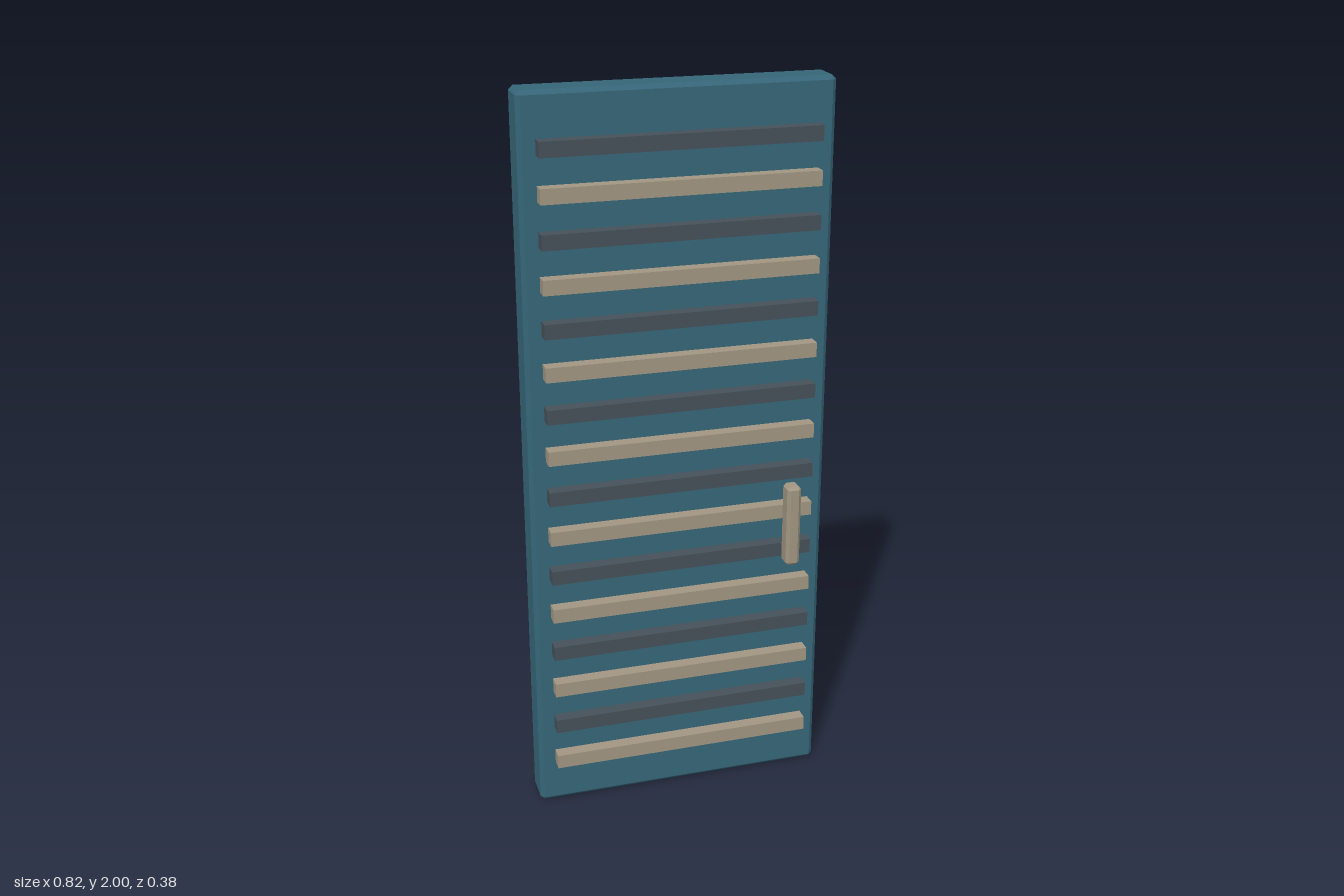
import * as THREE from 'three';
import { ConvexGeometry } from 'three/addons/geometries/ConvexGeometry.js';

const paint = (color) => new THREE.MeshStandardMaterial({ color });

// Box with every edge and corner cut by a flat chamfer
function chamferedBox(w, h, d, c) {
  const points = [];
  for (const sx of [-1, 1]) for (const sy of [-1, 1]) for (const sz of [-1, 1]) {
    const x = w / 2, y = h / 2, z = d / 2;
    points.push(
      new THREE.Vector3(sx * x, sy * (y - c), sz * (z - c)),
      new THREE.Vector3(sx * (x - c), sy * y, sz * (z - c)),
      new THREE.Vector3(sx * (x - c), sy * (y - c), sz * z)
    );
  }
  return new ConvexGeometry(points);
}

export function createModel() {
  const door = new THREE.Group();
  door.name = 'door';
  const blue = paint(0x366678), dark = paint(0x455159), tan = paint(0xa09682);

  const add = (name, geometry, material, x, y, z) => {
    const mesh = new THREE.Mesh(geometry, material);
    mesh.name = name;
    mesh.position.set(x, y, z);
    door.add(mesh);
  };

  // Door leaf
  add('panel', chamferedBox(0.82, 2, 0.1, 0.011), blue, 0, 1, 0);

  const slat = new THREE.BoxGeometry(0.73, 0.04, 0.036);
  const handle = chamferedBox(0.039, 0.23, 0.048, 0.008);

  for (const [side, s] of [['front', 1], ['back', -1]]) {
    // Alternating tan and dark slats, from the bottom up
    for (let i = 0; i < 16; i++) {
      add(side + 'Slat', slat, i % 2 ? dark : tan, 0, 0.145 + i * 0.1146, s * 0.068);
    }
    // Upright pull handle standing off the slats
    add(side + 'Handle', handle, tan, 0.278, 0.831, s * 0.164);
  }
  return door;
}
